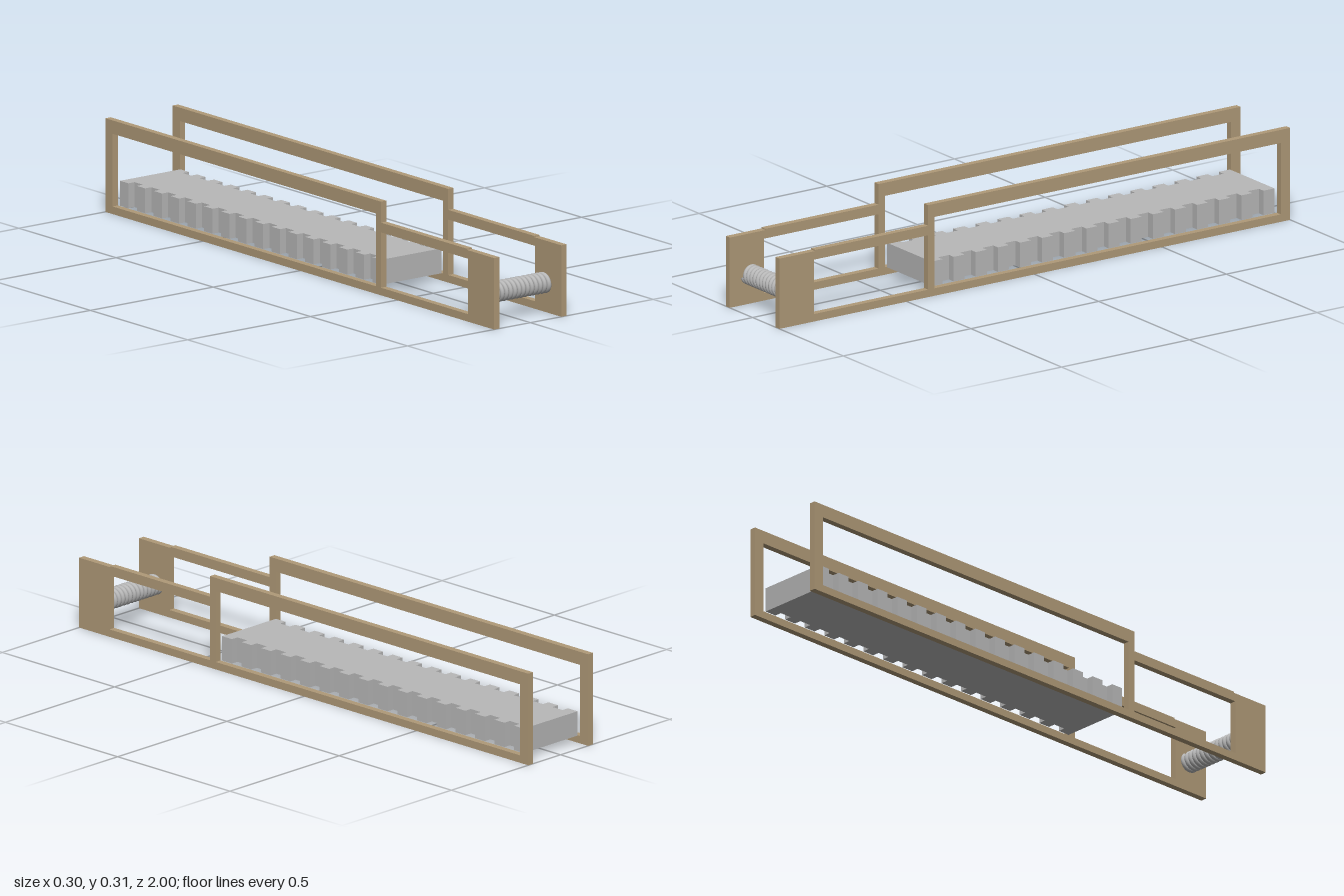
import * as THREE from 'three';

const wood = new THREE.MeshStandardMaterial({ color: 0xb09a78 });
wood.name = 'tan wood';
const metal = new THREE.MeshStandardMaterial({ color: 0xb8b8b8 });
metal.name = 'light grey';

const shapeOf = (pts, Kind = THREE.Shape) => new Kind(pts.map(([a, b]) => new THREE.Vector2(a, b)));
const rect = (z0, z1, y0, y1) => shapeOf([[z0, y0], [z0, y1], [z1, y1], [z1, y0]], THREE.Path);

// Side frame: stepped outline in (z, y) with two windows, extruded across x
function sideFrame(name, xMin, thickness) {
  const shape = shapeOf([
    [-1, 0], [1, 0], [1, 0.235], [0.86, 0.235], [0.86, 0.239],
    [0.418, 0.239], [0.418, 0.308], [-1, 0.308],
  ]);
  shape.holes.push(rect(0.418, 0.865, 0.025, 0.207), rect(-0.963, 0.392, 0.025, 0.264));
  const geo = new THREE.ExtrudeGeometry(shape, { depth: thickness, bevelEnabled: false });
  // shape x -> world z, extrusion -> world -x
  geo.rotateY(-Math.PI / 2);
  geo.translate(xMin + thickness, 0, 0);
  const mesh = new THREE.Mesh(geo, wood);
  mesh.name = name;
  return mesh;
}

// Slab with square teeth along both long edges
function toothedSlab() {
  const z0 = -0.956, z1 = 0.387, segments = 31, outer = 0.123, inner = 0.098;
  const step = (z1 - z0) / segments;
  const edge = [];
  for (let i = 0; i < segments; i++) {
    const x = i % 2 === 0 ? outer : inner;
    edge.push([x, z0 + i * step], [x, z0 + (i + 1) * step]);
  }
  const outline = [...edge, ...edge.map(([x, z]) => [-x, z]).reverse()];
  const geo = new THREE.ExtrudeGeometry(shapeOf(outline.map(([x, z]) => [x, -z])), {
    depth: 0.082, bevelEnabled: false,
  });
  geo.rotateX(-Math.PI / 2);
  geo.translate(0, 0.025, 0);
  const mesh = new THREE.Mesh(geo, metal);
  mesh.name = 'toothedSlab';
  return mesh;
}

// Helical spring running between the frames
class Helix extends THREE.Curve {
  getPoint(t, target = new THREE.Vector3()) {
    const x = -0.126 + 0.252 * t;
    const a = ((x + 0.1136) / 0.01726) * Math.PI * 2;
    return target.set(x, 0.1 + 0.0272 * Math.cos(a), 0.923 + 0.0272 * Math.sin(a));
  }
}

export function createModel() {
  const model = new THREE.Group();
  model.name = 'springFrame';
  model.add(sideFrame('leftFrame', 0.126, 0.022), sideFrame('rightFrame', -0.148, 0.022), toothedSlab());
  const spring = new THREE.Mesh(new THREE.TubeGeometry(new Helix(), 440, 0.0078, 12), metal);
  spring.name = 'coilSpring';
  model.add(spring);
  return model;
}
